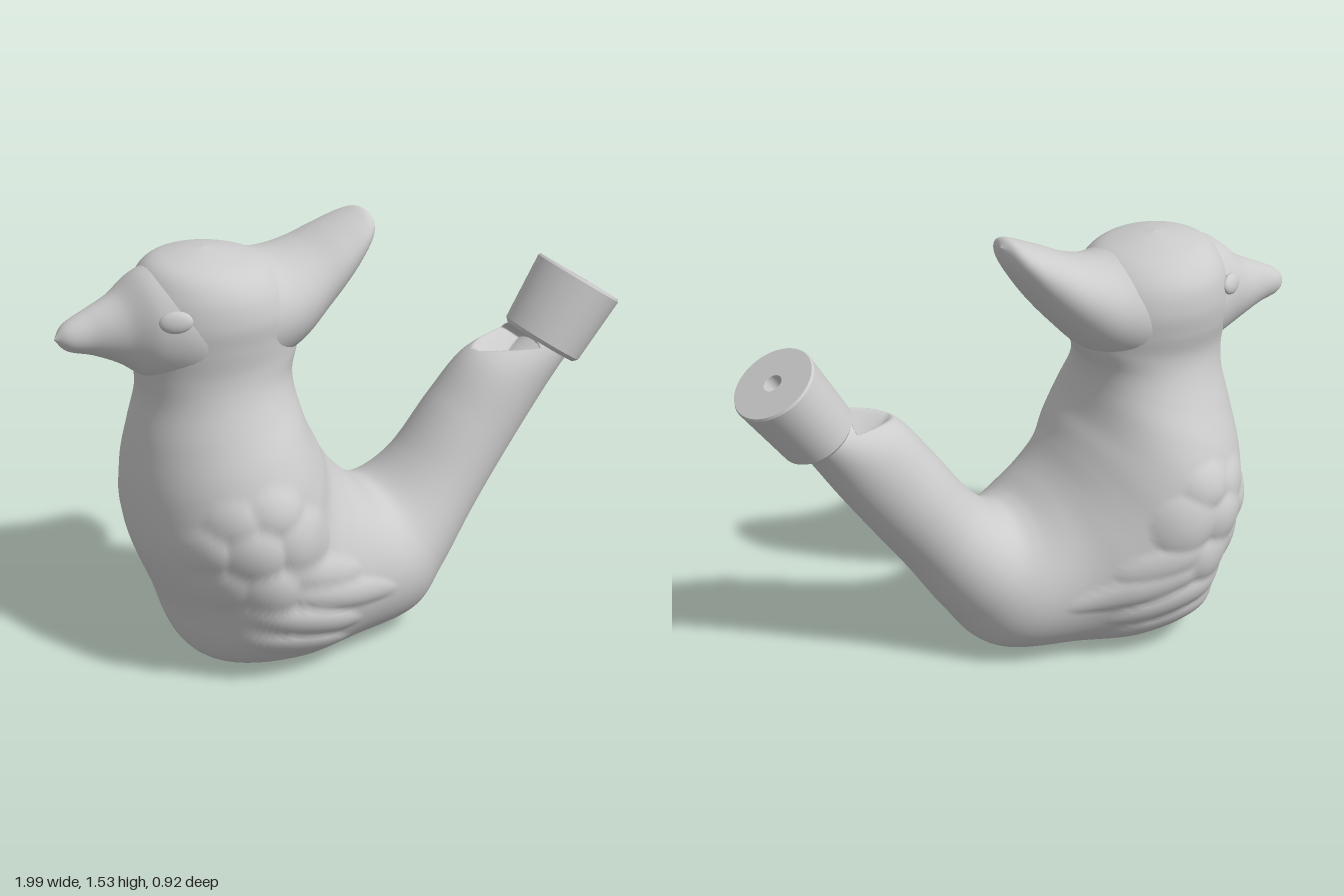
import * as THREE from 'three';

const material = new THREE.MeshStandardMaterial({ color: 0xcccccc, side: THREE.DoubleSide });

// Smooth loft through oval sections. Each station is [ax, ay, bx, by, halfWidth, centreZ]:
// A and B are the two ends of the oval in the xy plane.
function loft(name, stations, rows, cols, adjust, power = 1) {
  const curveA = new THREE.CatmullRomCurve3(stations.map(s => new THREE.Vector3(s[0], s[1], s[4])), false, 'catmullrom');
  const curveB = new THREE.CatmullRomCurve3(stations.map(s => new THREE.Vector3(s[2], s[3], s[5])), false, 'catmullrom');
  const positions = [], index = [], p = new THREE.Vector3();
  for (let i = 0; i <= rows; i++) {
    const t = (i / rows) ** power;
    const a = curveA.getPoint(t), b = curveB.getPoint(t);
    const halfX = (a.x - b.x) / 2, halfY = (a.y - b.y) / 2;
    for (let j = 0; j < cols; j++) {
      const angle = (j / cols) * Math.PI * 2, c = Math.cos(angle), s = Math.sin(angle);
      p.set(b.x + halfX * (1 + c), b.y + halfY * (1 + c), b.z + Math.max(0, a.z) * s);
      if (adjust) adjust(p, { c, s, halfX, halfY, centreZ: b.z });
      positions.push(p.x, p.y, p.z);
      if (i < rows) {
        const k = i * cols + j, n = i * cols + (j + 1) % cols;
        index.push(k, k + cols, n, n, k + cols, n + cols);
      }
    }
  }
  const geometry = new THREE.BufferGeometry();
  geometry.setAttribute('position', new THREE.Float32BufferAttribute(positions, 3));
  geometry.setIndex(index);
  geometry.computeVertexNormals();
  const mesh = new THREE.Mesh(geometry, material);
  mesh.name = name;
  return mesh;
}

// Wing feathers: [x, y, half length, half width, tilt, height]
const feathers = [
  [-0.46, 0.68, 0.10, 0.08, -0.3, 0.02], [-0.60, 0.66, 0.08, 0.07, 0.3, 0.016],
  [-0.68, 0.54, 0.07, 0.08, 0, 0.022], [-0.54, 0.54, 0.10, 0.10, 0, 0.028],
  [-0.37, 0.56, 0.12, 0.11, -0.5, 0.026], [-0.49, 0.40, 0.11, 0.09, -0.3, 0.026],
  [-0.62, 0.40, 0.08, 0.09, -0.5, 0.02], [-0.30, 0.42, 0.17, 0.06, -0.25, 0.018],
  [-0.22, 0.32, 0.24, 0.055, -0.25, 0.018], [-0.36, 0.25, 0.24, 0.055, -0.3, 0.02],
  [-0.36, 0.14, 0.22, 0.05, -0.25, 0.016],
];

function featherHeight(x, y) {
  let best = 0;
  for (const [fx, fy, length, width, tilt, height] of feathers) {
    const dx = x - fx, dy = y - fy, c = Math.cos(tilt), s = Math.sin(tilt);
    const u = (dx * c + dy * s) / length, v = (dy * c - dx * s) / width;
    best = Math.max(best, height * Math.max(0, 1 - u * u - v * v) ** 0.75);
  }
  return best;
}

// Raises the feathers, sinks the whistle window and flattens the base softly
function shapeBody(p, { c, s, halfX, halfY, centreZ }) {
  p.z += Math.sign(s) * Math.min(1, Math.abs(s) * 1.3) * featherHeight(p.x, p.y);
  const along = (p.x - 0.47) / 0.15;
  if (c > 0 && p.y > 0.85 && along > 0) {
    const inside = 0.11 * Math.sqrt(along) - Math.abs(p.z - centreZ);
    const sink = 0.85 * THREE.MathUtils.clamp(Math.min(inside / 0.03, (1.15 - along) * 8), 0, 1);
    p.x -= halfX * sink;
    p.y -= halfY * sink;
  }
  p.y = (p.y + Math.hypot(p.y, 0.035)) / 2;
}

export function createModel() {
  const model = new THREE.Group();

  // Pipe, belly, neck and head in one sweep
  model.add(loft('body', [
    [0.67, 1.03, 0.83, 0.94, 0.13, 0.165],
    [0.60, 1.01, 0.77, 0.87, 0.14, 0.16],
    [0.45, 0.955, 0.67, 0.715, 0.155, 0.145],
    [0.33, 0.81, 0.55, 0.54, 0.175, 0.125],
    [0.20, 0.63, 0.43, 0.37, 0.20, 0.11],
    [0.10, 0.545, 0.30, 0.17, 0.25, 0.085],
    [0.03, 0.55, 0.17, 0.02, 0.30, 0.065],
    [-0.04, 0.61, -0.10, -0.03, 0.35, 0.045],
    [-0.09, 0.67, -0.35, -0.06, 0.40, 0.02],
    [-0.13, 0.74, -0.59, 0.01, 0.43, 0],
    [-0.16, 0.80, -0.69, 0.24, 0.44, 0],
    [-0.19, 0.86, -0.77, 0.46, 0.43, 0],
    [-0.21, 0.93, -0.785, 0.66, 0.38, 0],
    [-0.22, 1.00, -0.765, 0.84, 0.31, 0],
    [-0.215, 1.06, -0.74, 0.98, 0.265, 0],
    [-0.19, 1.13, -0.745, 1.08, 0.25, 0],
    [-0.19, 1.20, -0.76, 1.19, 0.262, -0.005],
    [-0.20, 1.28, -0.755, 1.28, 0.27, -0.005],
    [-0.24, 1.36, -0.73, 1.37, 0.25, -0.005],
    [-0.30, 1.42, -0.685, 1.435, 0.19, 0],
    [-0.40, 1.455, -0.60, 1.463, 0.10, 0],
    [-0.50, 1.475, -0.50, 1.475, 0, 0],
  ], 240, 160, shapeBody, 1.6));

  model.add(loft('beak', [
    [-0.50, 1.45, -0.50, 1.00, 0.24, 0],
    [-0.62, 1.445, -0.62, 1.03, 0.228, 0],
    [-0.72, 1.415, -0.73, 1.07, 0.178, -0.015],
    [-0.80, 1.345, -0.80, 1.115, 0.12, -0.05],
    [-0.88, 1.305, -0.88, 1.15, 0.075, -0.07],
    [-0.96, 1.265, -0.96, 1.175, 0.045, -0.08],
    [-1.00, 1.22, -1.00, 1.22, 0, -0.08],
  ], 60, 64));

  model.add(loft('crest', [
    [-0.48, 1.00, -0.50, 1.46, 0.24, 0],
    [-0.32, 1.05, -0.38, 1.442, 0.24, 0],
    [-0.205, 1.11, -0.28, 1.428, 0.215, 0.01],
    [-0.11, 1.205, -0.18, 1.447, 0.18, 0.025],
    [-0.03, 1.30, -0.08, 1.49, 0.15, 0.045],
    [0.03, 1.39, 0.00, 1.522, 0.12, 0.06],
    [0.06, 1.45, 0.045, 1.533, 0.08, 0.07],
    [0.072, 1.51, 0.072, 1.51, 0, 0.07],
  ], 64, 64));

  // Mouthpiece: slightly oval collar with a blow hole
  const profile = [
    [0, 0.02], [0.112, 0.02], [0.112, 0], [0.122, 0], [0.134, 0.014],
    [0.148, 0.257], [0.144, 0.265], [0.033, 0.265], [0.033, 0.10], [0, 0.10],
  ].map(([r, y]) => new THREE.Vector2(r, y));
  // Separate bands keep the rims sharp
  const mouthpiece = new THREE.Group();
  mouthpiece.name = 'mouthpiece';
  for (let i = 0; i < profile.length - 1; i++) {
    const band = new THREE.Mesh(new THREE.LatheGeometry([profile[i], profile[i + 1]], 64), material);
    band.name = 'mouthpieceBand';
    mouthpiece.add(band);
  }
  mouthpiece.position.set(0.724, 0.952, 0.168);
  mouthpiece.rotation.set(0.06, 0, -0.59);
  mouthpiece.scale.z = 1.2;
  model.add(mouthpiece);

  // Eyes
  for (const side of [1, -1]) {
    const eye = new THREE.Mesh(new THREE.SphereGeometry(1, 32, 20), material);
    eye.name = side > 0 ? 'leftEye' : 'rightEye';
    eye.scale.set(0.055, 0.036, 0.02);
    eye.position.set(-0.688, 1.305, side * 0.184 - 0.008);
    eye.rotation.set(-side * 0.2, -side * 0.55, 0);
    model.add(eye);
  }

  return model;
}
